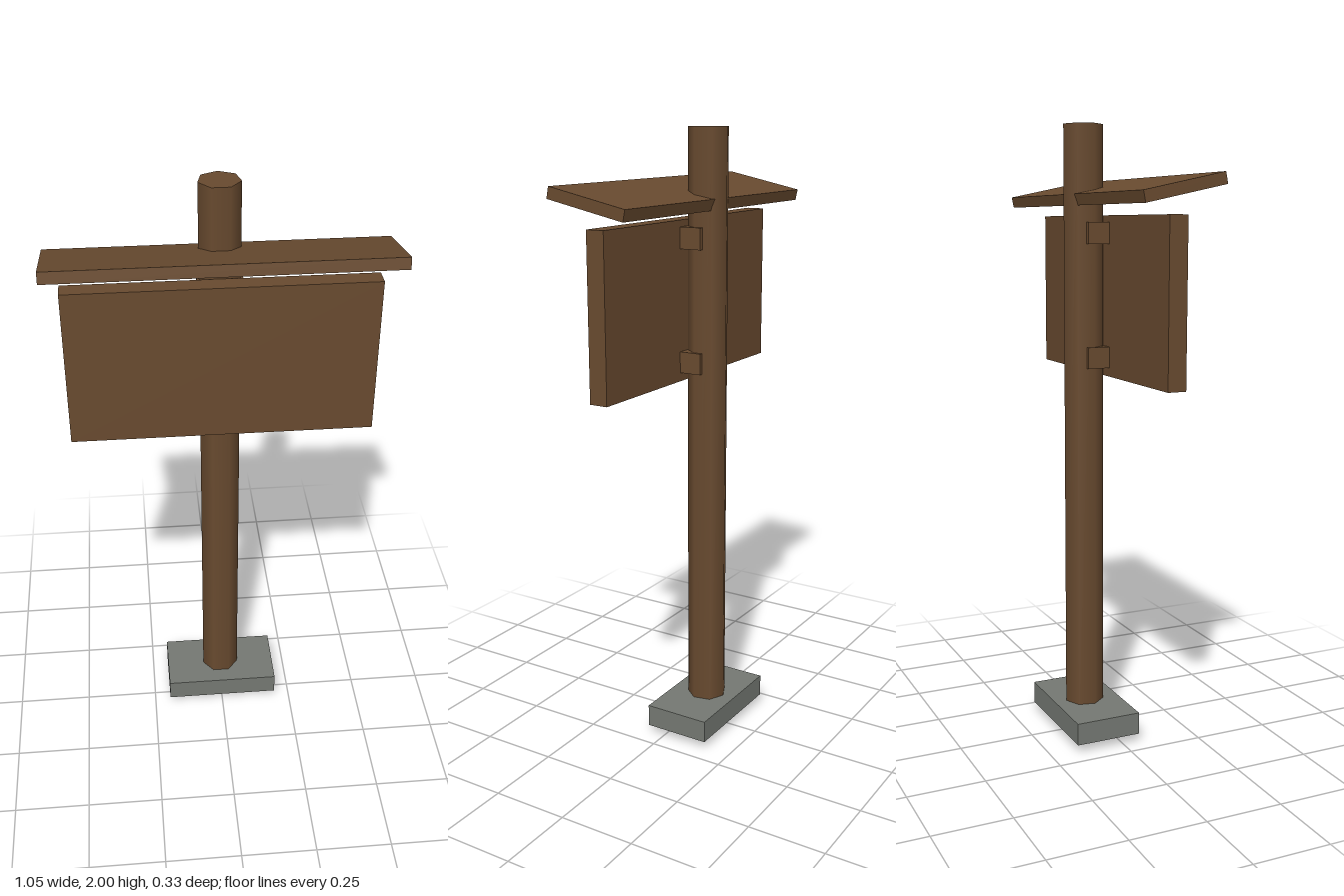
import * as THREE from 'three';

export function createModel() {
  const wood = new THREE.MeshStandardMaterial({ name: 'brown wood', color: 0x684a2f });
  const stone = new THREE.MeshStandardMaterial({ name: 'grey stone', color: 0x747872 });
  const model = new THREE.Group();
  model.name = 'signpost';

  const add = (name, geometry, material, x, y, z) => {
    const mesh = new THREE.Mesh(geometry, material);
    mesh.name = name;
    mesh.position.set(x, y, z);
    model.add(mesh);
    return mesh;
  };
  const box = (name, material, w, h, d, y, z) =>
    add(name, new THREE.BoxGeometry(w, h, d), material, 0, y, z);

  // Seven-sided post with a flat side against the board
  const post = add('post', new THREE.CylinderGeometry(0.065, 0.065, 2, 7), wood, 0, 1, -0.059);
  post.rotation.y = Math.PI;

  // Foot slab around the post, slightly above its end
  box('footSlab', stone, 0.39, 0.073, 0.22, 0.065, -0.055);

  // Sign board
  box('board', wood, 0.95, 0.51, 0.06, 1.465, 0.033);

  // Brackets joining the board to the post
  for (const y of [1.272, 1.665]) box('bracket', wood, 0.14, 0.068, 0.075, y, -0.033);

  // Small roof, tilted up at the front
  const roof = box('roof', wood, 1.046, 0.036, 0.266, 1.795, 0.029);
  roof.rotation.x = -0.206;

  return model;
}
